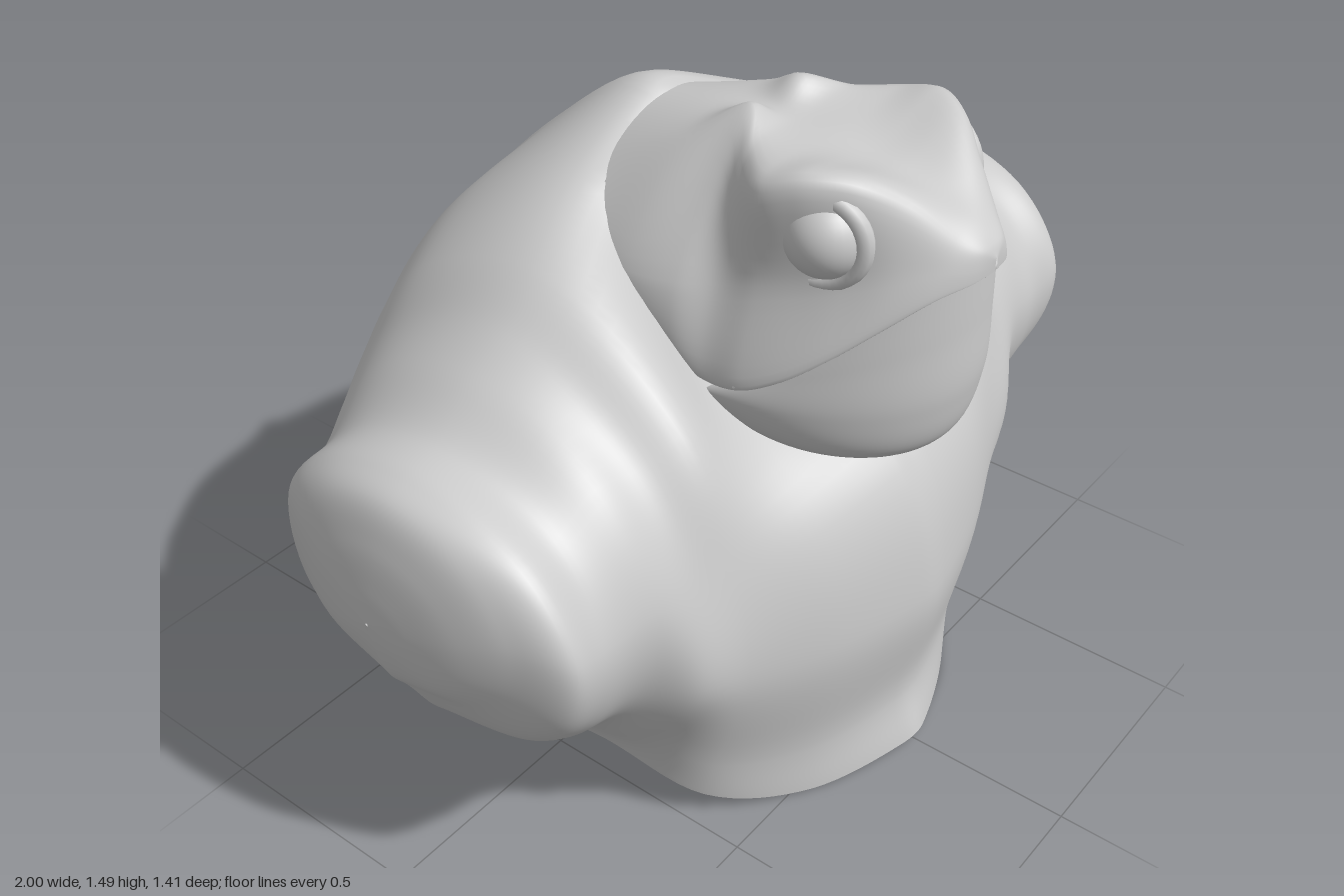
import * as THREE from 'three';

const V = (x, y, z) => new THREE.Vector3(x, y, z);
const material = new THREE.MeshStandardMaterial({ color: 0xcccccc, side: THREE.DoubleSide });

// Smooth skin through rows of control points, splined along and across; cut() opens holes
function skin(name, rows, alongSteps, acrossSteps, cut = () => false) {
  const fine = rows.map(r => new THREE.CatmullRomCurve3(r, false, 'centripetal').getPoints(acrossSteps));
  const tracks = fine[0].map((_, j) =>
    new THREE.CatmullRomCurve3(fine.map(r => r[j]), false, 'centripetal').getPoints(alongSteps));
  const pos = [], idx = [], n = acrossSteps + 1;
  for (let i = 0; i <= alongSteps; i++) {
    for (let j = 0; j < n; j++) {
      const p = tracks[j][i];
      pos.push(p.x, p.y, p.z);
      if (i < alongSteps && j < acrossSteps && !cut(p)) {
        const a = i * n + j, b = a + n;
        idx.push(a, b, a + 1, a + 1, b, b + 1);
      }
    }
  }
  const g = new THREE.BufferGeometry();
  g.setAttribute('position', new THREE.Float32BufferAttribute(pos, 3));
  g.setIndex(idx);
  g.computeVertexNormals();
  const mesh = new THREE.Mesh(g, material);
  mesh.name = name;
  return mesh;
}

// Torso: open sections from the front hem over the back, then closed arm stumps
function makeTorso() {
  const open = [ // x, then z,y pairs
    [0, .63, .02, .60, .15, .64, .45, .54, .79, .14, 1.0, -.09, 1.42, -.37, 1.26, -.70, .86, -.67, .58, -.57, .14],
    [.05, .62, .015, .595, .15, .635, .45, .54, .79, .14, 1.0, -.09, 1.41, -.37, 1.25, -.66, .87, -.645, .58, -.56, .15],
    [.27, .53, 0, .53, .14, .58, .45, .51, .76, .22, 1.0, -.07, 1.31, -.38, 1.19, -.61, .88, -.61, .55, -.51, .20],
    [.47, .39, .06, .42, .18, .50, .45, .46, .73, .34, 1.01, 0, 1.22, -.34, 1.11, -.52, .85, -.52, .52, -.40, .28],
    [.58, .18, .20, .31, .27, .46, .47, .44, .71, .31, .96, 0, 1.14, -.30, 1.04, -.47, .82, -.45, .48, -.25, .28]
  ];
  const arm = [ // x, centre z, centre y, radius z, radius y
    [.67, -.01, .67, .43, .41],
    [.78, .01, .665, .395, .345],
    [.88, .03, .71, .38, .285],
    [.94, .025, .745, .285, .22],
    [.975, .02, .73, .19, .155],
    [.993, .01, .715, .09, .075],
    [1, 0, .71, .003, .003]
  ];
  const angles = [-90, -52, -24, 8, 46, 90, 128, 162, 212, 270];
  const half = open.map(([x, ...p]) =>
    Array.from({ length: 10 }, (_, k) => V(x, p[2 * k + 1], p[2 * k])));
  for (const [x, cz, cy, rz, ry] of arm) {
    half.push(angles.map(deg => {
      const a = deg * Math.PI / 180;
      return V(x, cy + ry * Math.sin(a), cz + rz * Math.cos(a));
    }));
  }
  const mirrored = half.slice(1).reverse().map(r => r.map(p => V(-p.x, p.y, p.z)));
  // Neck opening, covered by the head
  const neck = p => Math.abs(p.x) < .25 && p.y > .86 && p.z > -.03;
  return skin('torso', [...mirrored, ...half], 176, 81, neck);
}

// Upper head: z, lip x, lip y, cheek x, cheek y, brow x, brow y, crown y
const headRows = [
  [.702, .003, 1.268, .003, 1.28, .002, 1.292, 1.295],
  [.69, .06, 1.262, .055, 1.285, .035, 1.315, 1.32],
  [.65, .12, 1.24, .105, 1.29, .07, 1.345, 1.36],
  [.58, .19, 1.18, .165, 1.28, .12, 1.41, 1.395],
  [.50, .25, 1.11, .205, 1.26, .19, 1.46, 1.415],
  [.42, .29, 1.05, .235, 1.24, .24, 1.465, 1.425],
  [.34, .31, 1.01, .26, 1.22, .25, 1.44, 1.435],
  [.26, .31, 1.0, .275, 1.20, .18, 1.445, 1.44],
  [.19, .32, 1.03, .315, 1.20, .09, 1.485, 1.445],
  [.08, .335, 1.10, .335, 1.20, .16, 1.41, 1.435],
  [-.10, .31, 1.20, .295, 1.24, .17, 1.34, 1.40]
];

function makeHead() {
  const rows = headRows.map(([z, w, ym, cx, cy, bx, by, top]) => {
    const side = [V(w * .93, ym + .005, z), V(w, ym, z), V(cx, cy, z), V(bx, by, z)];
    return [...side, V(0, top, z), ...side.map(p => V(-p.x, p.y, z)).reverse()];
  });
  return skin('head', rows, 80, 64);
}

// Throat pouch: centre y, side y, front z, side z, half width
function makeThroat() {
  const rows = [
    [1.27, 1.0, .675, .3, .275],
    [1.14, .995, .675, .28, .295],
    [.98, .975, .67, .26, .31],
    [.86, .92, .63, .28, .285],
    [.805, .86, .51, .34, .22]
  ].map(([yc, ys, zf, zs, w]) => Array.from({ length: 13 }, (_, k) => {
    const a = (k / 12 - .5) * Math.PI, c = Math.cos(a);
    return V(w * Math.sin(a), ys + (yc - ys) * c, zs + (zf - zs) * c);
  }));
  return skin('throat', rows, 40, 48);
}

function add(parent, name, geometry, x, y, z) {
  const m = new THREE.Mesh(geometry, material);
  m.name = name;
  m.position.set(x, y, z);
  parent.add(m);
  return m;
}

export function createModel() {
  const model = new THREE.Group();
  model.name = 'toadBust';
  model.add(makeTorso(), makeHead(), makeThroat());

  // Upper lip along the mouth edge
  const lip = headRows.slice(1, 7).map(r => V(r[1] - .008, r[2] + .004, r[0] - .012));
  const lipPath = [...lip.map(p => V(-p.x, p.y, p.z)).reverse(), V(0, 1.27, .688), ...lip];
  add(model, 'upperLip', new THREE.TubeGeometry(
    new THREE.CatmullRomCurve3(lipPath, false, 'centripetal'), 64, .012, 8), 0, 0, 0);

  // Eyes with lids
  for (const [s, side] of [[1, 'left'], [-1, 'right']]) {
    add(model, side + 'Eye', new THREE.SphereGeometry(.085, 32, 20), s * .185, 1.34, .447);
    const lid = add(model, side + 'Eyelid', new THREE.TorusGeometry(.088, .02, 10, 36), s * .207, 1.34, .447);
    lid.rotation.y = s * (Math.PI / 2 - .2);
  }
  return model;
}
